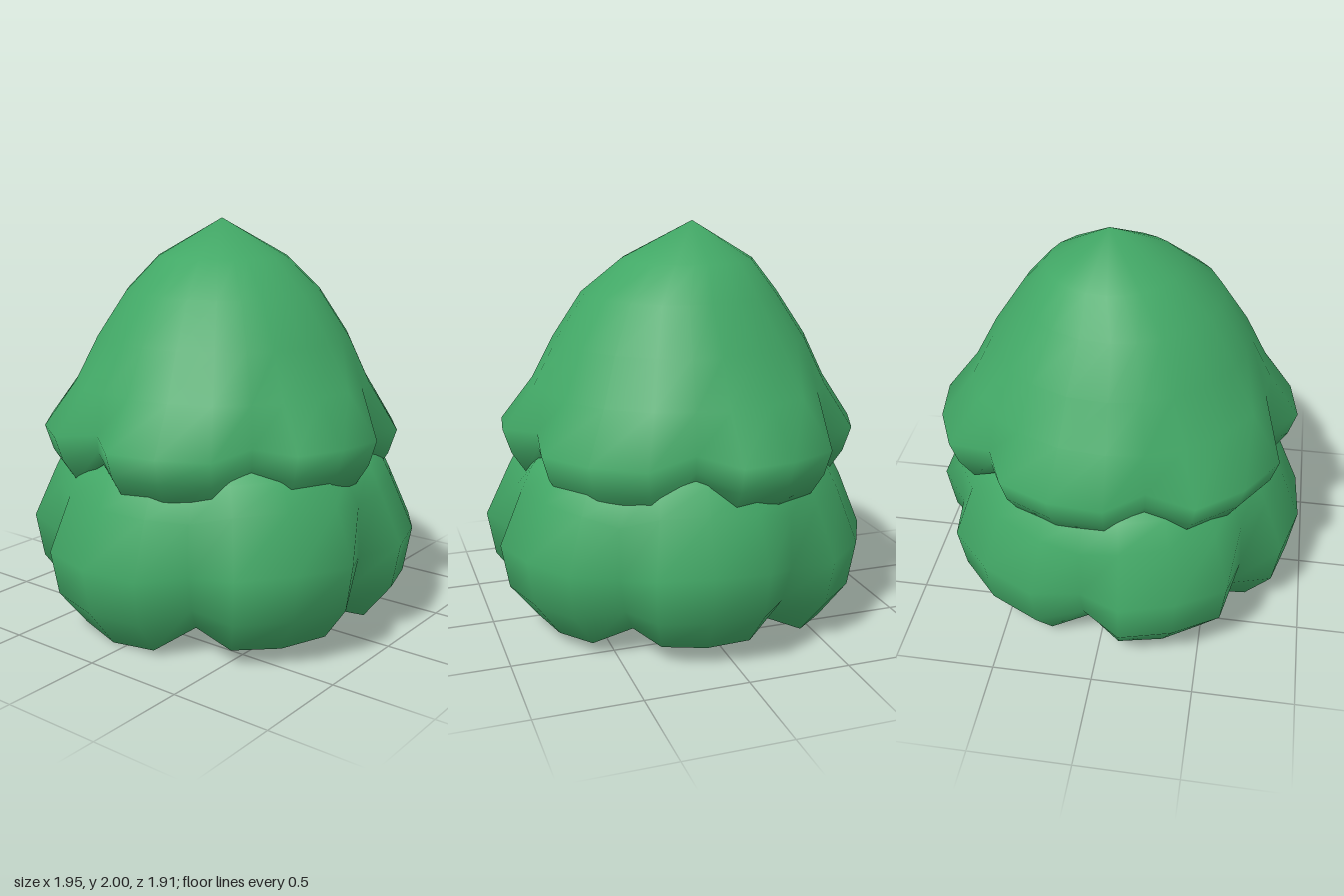
import * as THREE from 'three';

// Fractions of a lobe's width where its vertices sit; the first is the valley
const STEPS = [0, 0.22, 0.5, 0.78];

// Lofts rings from the top pole to the bottom pole, each ring swelling into lobes.
// lobe: [start angle in degrees, extra radius, extra height], in order around the tier
// ring: [valley radius, lobe radius, valley height, lobe height, share of lobe extras, x/z shift]
// flatness: how level the lobes hang between their valleys
function lobedTier(rings, lobes, flatness) {
  const columns = lobes.flatMap(([start, swell, lift], k) => {
    const end = k + 1 < lobes.length ? lobes[k + 1][0] : lobes[0][0] + 360;
    return STEPS.map((f) => ({
      angle: THREE.MathUtils.degToRad(THREE.MathUtils.lerp(start, end, f)),
      bulge: f === 0 ? 0 : 1,
      drop: 1 - Math.abs(2 * f - 1) ** flatness,
      swell, lift,
    }));
  });
  const count = columns.length, last = rings.length - 1;
  const positions = [], index = [];
  for (const [rValley, rLobe, yValley, yLobe, share = 0, shift = 0] of rings) {
    for (const { angle, bulge, drop, swell, lift } of columns) {
      const r = THREE.MathUtils.lerp(rValley, rLobe + swell * share, bulge);
      const y = THREE.MathUtils.lerp(yValley, yLobe + lift * share, drop);
      positions.push(Math.sin(angle) * r + shift, y, Math.cos(angle) * r + shift);
    }
  }
  // Each pole shares one vertex so its shading stays smooth
  const id = (i, j) => i * count + (i === 0 || i === last ? 0 : j % count);
  for (let i = 0; i < last; i++) {
    for (let j = 0; j < count; j++) {
      const a = id(i, j), b = id(i, j + 1), c = id(i + 1, j), d = id(i + 1, j + 1);
      if (a !== b) index.push(a, c, b);
      if (c !== d) index.push(b, c, d);
    }
  }
  const geometry = new THREE.BufferGeometry();
  geometry.setAttribute('position', new THREE.Float32BufferAttribute(positions, 3));
  geometry.setIndex(index);
  geometry.computeVertexNormals();
  return geometry;
}

export function createModel() {
  const group = new THREE.Group();
  group.name = 'foliage';
  const leafGreen = new THREE.MeshStandardMaterial({ color: 0x42a866 });
  leafGreen.name = 'leafGreen';

  // Pointed crown with a scalloped rim
  const crown = new THREE.Mesh(lobedTier([
    [0, 0, 2, 2, 0, -0.05],
    [0.325, 0.325, 1.815, 1.815, 0, -0.03],
    [0.49, 0.49, 1.65, 1.65],
    [0.635, 0.635, 1.43, 1.43],
    [0.745, 0.745, 1.21, 1.21, 0.3],
    [0.785, 0.9, 1.02, 0.985, 1],
    [0.78, 0.86, 0.94, 0.86, 1],
    [0.75, 0.79, 0.87, 0.75, 1],
    [0.62, 0.65, 0.9, 0.82],
    [0, 0, 0.98, 0.98],
  ], [
    [47, 0.01, 0.02], [101, -0.015, -0.02], [167, 0.02, 0],
    [224.5, -0.02, 0.01], [286.6, 0.01, 0], [348.5, 0, 0],
  ], 5), leafGreen);
  crown.name = 'upperFoliage';

  // Wide skirt with a scalloped rim and a funnel-shaped underside
  const skirt = new THREE.Mesh(lobedTier([
    [0, 0, 1.15, 1.15],
    [0.6, 0.62, 1.02, 1.02],
    [0.77, 0.785, 0.82, 0.82, 0.8],
    [0.85, 0.85, 0.69, 0.69, 0.8],
    [0.86, 0.96, 0.44, 0.42, 1],
    [0.8, 0.92, 0.26, 0.19, 1],
    [0.7, 0.78, 0.13, 0, 1],
    [0.56, 0.62, 0.17, 0.1, 0.6],
    [0.41, 0.45, 0.24, 0.21],
    [0.26, 0.28, 0.4, 0.4],
    [0, 0, 0.54, 0.54],
  ], [
    [27, 0.05, 0.07], [86, 0.02, 0.05], [143, 0, 0.08],
    [199, -0.02, 0.01], [265, 0.025, 0.06], [322, 0, 0],
  ], 3), leafGreen);
  skirt.name = 'lowerFoliage';

  group.add(crown, skirt);
  return group;
}
